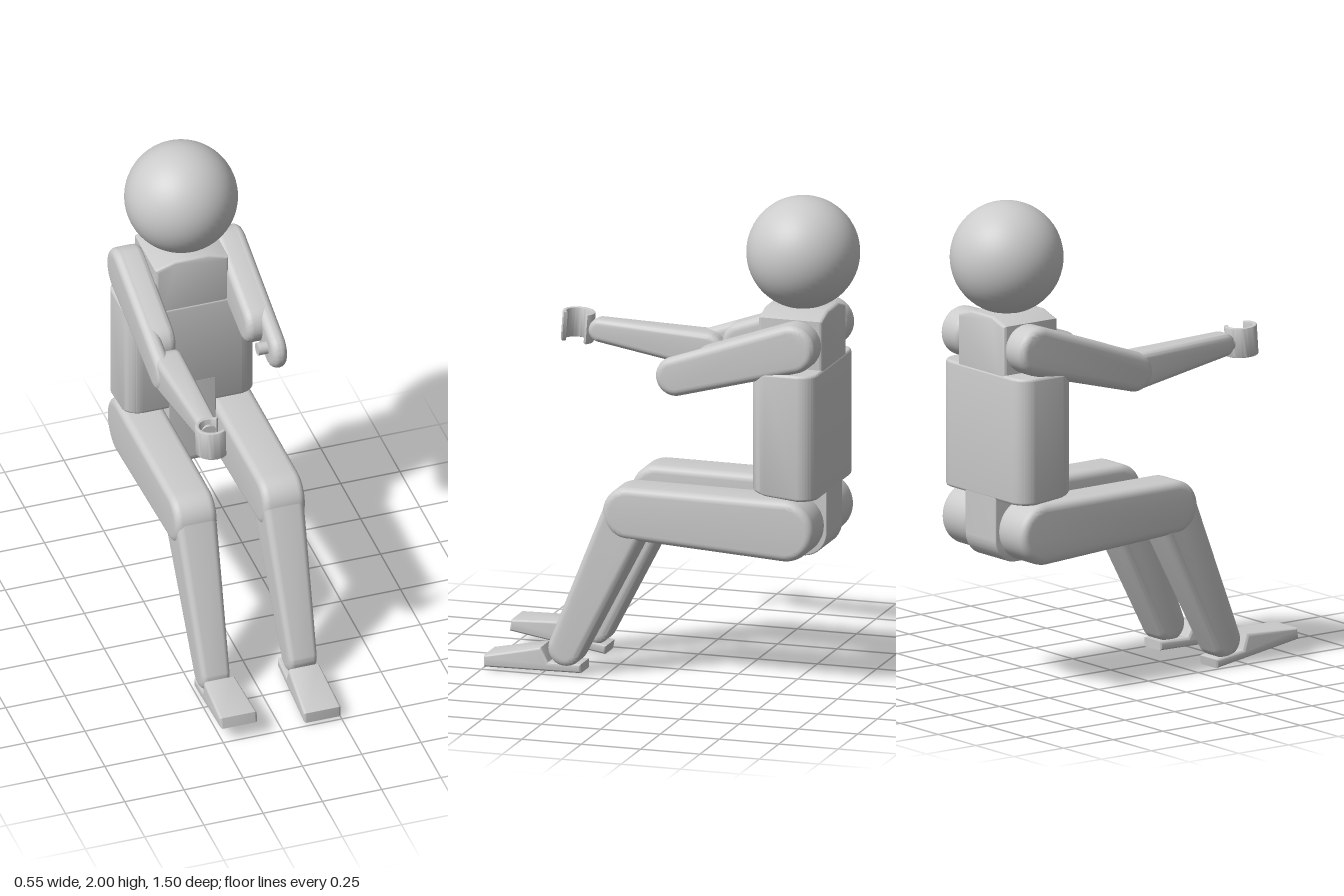
import * as THREE from 'three';
import { toCreasedNormals } from 'three/addons/utils/BufferGeometryUtils.js';

const material = new THREE.MeshStandardMaterial({ color: 0xcccccc, side: THREE.DoubleSide });

function addMesh(parent, name, geometry, x = 0, y = 0, z = 0) {
  const mesh = new THREE.Mesh(geometry, material);
  mesh.name = name;
  mesh.position.set(x, y, z);
  parent.add(mesh);
  return mesh;
}

// Extrusion with rounded edges that stays within its outline, centred on depth
function extrude(shape, depth, bevel) {
  return new THREE.ExtrudeGeometry(shape, {
    depth: depth - 2 * bevel, bevelThickness: bevel, bevelSize: bevel,
    bevelOffset: -bevel, bevelSegments: 5, curveSegments: 16
  }).translate(0, 0, bevel - depth / 2);
}

// Side profile drawn as (z, y), extruded across x
const sideways = (shape, width, bevel) => extrude(shape, width, bevel).rotateY(-Math.PI / 2);

// Move vertices by a rule and rebuild normals
function reshape(geometry, rule) {
  const p = geometry.attributes.position;
  const v = new THREE.Vector3();
  for (let i = 0; i < p.count; i++) {
    v.fromBufferAttribute(p, i);
    rule(v);
    p.setXYZ(i, v.x, v.y, v.z);
  }
  geometry.computeVertexNormals();
  return toCreasedNormals(geometry, 0.6);
}

// Limb with round ends: a and b are [z, y, radius]; its width narrows towards b
function limb(a, b, width, taper = 1, bevel = 0.03) {
  const dz = b[0] - a[0], dy = b[1] - a[1];
  const length = Math.hypot(dz, dy), angle = Math.atan2(dy, dz);
  const k = Math.acos((a[2] - b[2]) / length);
  const shape = new THREE.Shape();
  shape.absarc(b[0], b[1], b[2], angle - k, angle + k, false);
  shape.absarc(a[0], a[1], a[2], angle + k, angle - k + 2 * Math.PI, false);
  return reshape(sideways(shape, width, bevel), v => {
    const t = ((v.z - a[0]) * dz + (v.y - a[1]) * dy) / length ** 2;
    v.x *= 1 - (1 - taper) * THREE.MathUtils.clamp(t, 0, 1);
  });
}

function polygon(points) {
  return new THREE.Shape(points.map(p => new THREE.Vector2(...p)));
}

function roundedRect(w, h, r) {
  const s = new THREE.Shape();
  const x = w / 2 - r, y = h / 2 - r;
  s.absarc(x, y, r, 0, Math.PI / 2);
  s.absarc(-x, y, r, Math.PI / 2, Math.PI);
  s.absarc(-x, -y, r, Math.PI, Math.PI * 1.5);
  s.absarc(x, -y, r, Math.PI * 1.5, Math.PI * 2);
  return s;
}

function addBody(model) {
  addMesh(model, 'head', new THREE.SphereGeometry(0.228, 48, 32), 0, 1.773, -0.523);

  // Broad trunk, its underside rising a little towards the front
  const trunk = extrude(roundedRect(0.55, 0.275, 0.075), 0.52, 0.012).rotateX(-Math.PI / 2);
  addMesh(model, 'trunk', reshape(trunk, v => {
    if (v.y < 0) v.y += 0.2 * Math.max(0, v.z);
  }), 0, 1.07, -0.518);

  // Narrow chest between the shoulders
  const chest = polygon([[-0.155, 1.25], [0.155, 1.25], [0.155, 1.53], [0.07, 1.558], [-0.07, 1.558], [-0.155, 1.53]]);
  addMesh(model, 'chest', reshape(extrude(chest, 0.27, 0.015), () => {}), 0, 0, -0.518);

  // Hip block between the thighs
  const hip = new THREE.Shape();
  hip.moveTo(-0.38, 0.95);
  hip.lineTo(-0.655, 0.95);
  hip.lineTo(-0.655, 0.65);
  hip.absarc(-0.555, 0.645, 0.1, Math.PI, Math.PI * 1.5, false);
  hip.absarc(-0.42, 0.585, 0.04, Math.PI * 1.5, Math.PI * 2, false);
  addMesh(model, 'hip', reshape(sideways(hip, 0.2, 0.005), () => {}));
}

function addLeg(model, side, footX, footPitch) {
  const leg = new THREE.Group();
  leg.name = side > 0 ? 'leftLeg' : 'rightLeg';
  model.add(leg);
  addMesh(leg, 'thigh', limb([-0.525, 0.68, 0.125], [0.13, 0.7, 0.108], 0.178), side * 0.186);
  addMesh(leg, 'shin', limb([0.14, 0.69, 0.1], [0.405, 0.112, 0.072], 0.172, 0.7), side * 0.184);

  // Wedge foot with a low heel, turning about the ankle
  const profile = polygon([[-0.065, -0.077], [0.338, -0.077], [0.338, -0.03], [0.1, 0.02], [0.07, -0.04], [-0.065, -0.04]]);
  const foot = reshape(sideways(profile, 0.158, 0.012), v => {
    v.x *= 0.72 + 0.28 * THREE.MathUtils.clamp((v.z + 0.065) / 0.4, 0, 1);
  });
  addMesh(leg, 'foot', foot, footX, 0.092, 0.405).rotation.x = -footPitch;
}

function addUpperArm(model, side) {
  const arm = new THREE.Group();
  arm.name = side > 0 ? 'leftUpperArm' : 'rightUpperArm';
  model.add(arm);
  const shoulder = [-0.555, 1.433, 0.1], elbow = [-0.065, 1.282, 0.08];
  const cut = shoulder.map((s, i) => THREE.MathUtils.lerp(s, elbow[i], 0.7));
  // The inner half stops short to make room for the elbow joint
  addMesh(arm, 'innerUpperArm', limb(shoulder, cut, 0.122), side * 0.209);
  addMesh(arm, 'outerUpperArm', limb(shoulder, elbow, 0.065), side * 0.2425);
  const peg = new THREE.CylinderGeometry(0.026, 0.026, 0.06, 24).rotateZ(Math.PI / 2);
  addMesh(arm, 'elbowPeg', peg, side * 0.2, 1.285, -0.075);
}

function addForearm(model) {
  const arm = new THREE.Group();
  arm.name = 'rightForearm';
  model.add(arm);
  addMesh(arm, 'forearm', limb([-0.06, 1.282, 0.076], [0.395, 1.326, 0.047], 0.122, 0.68, 0.025), -0.21);
  const wrist = new THREE.CylinderGeometry(0.036, 0.036, 0.08, 24).rotateX(Math.PI / 2);
  addMesh(arm, 'wrist', wrist, -0.213, 1.328, 0.415);

  // C-shaped grip, open towards the middle
  const gap = 0.85;
  const grip = new THREE.Shape();
  grip.absarc(0, 0, 0.066, gap, 2 * Math.PI - gap, false);
  grip.absarc(0, 0, 0.05, 2 * Math.PI - gap, gap, true);
  const ring = extrude(grip, 0.122, 0.003).rotateX(-Math.PI / 2);
  addMesh(arm, 'hand', reshape(ring, () => {}), -0.213, 1.332, 0.495).rotation.x = -0.07;
}

export function createModel() {
  const model = new THREE.Group();
  model.name = 'seatedFigure';
  addBody(model);
  addLeg(model, 1, 0.172, 0);
  addLeg(model, -1, -0.183, 0.175);
  addUpperArm(model, 1);
  addUpperArm(model, -1);
  addForearm(model);
  return model;
}
